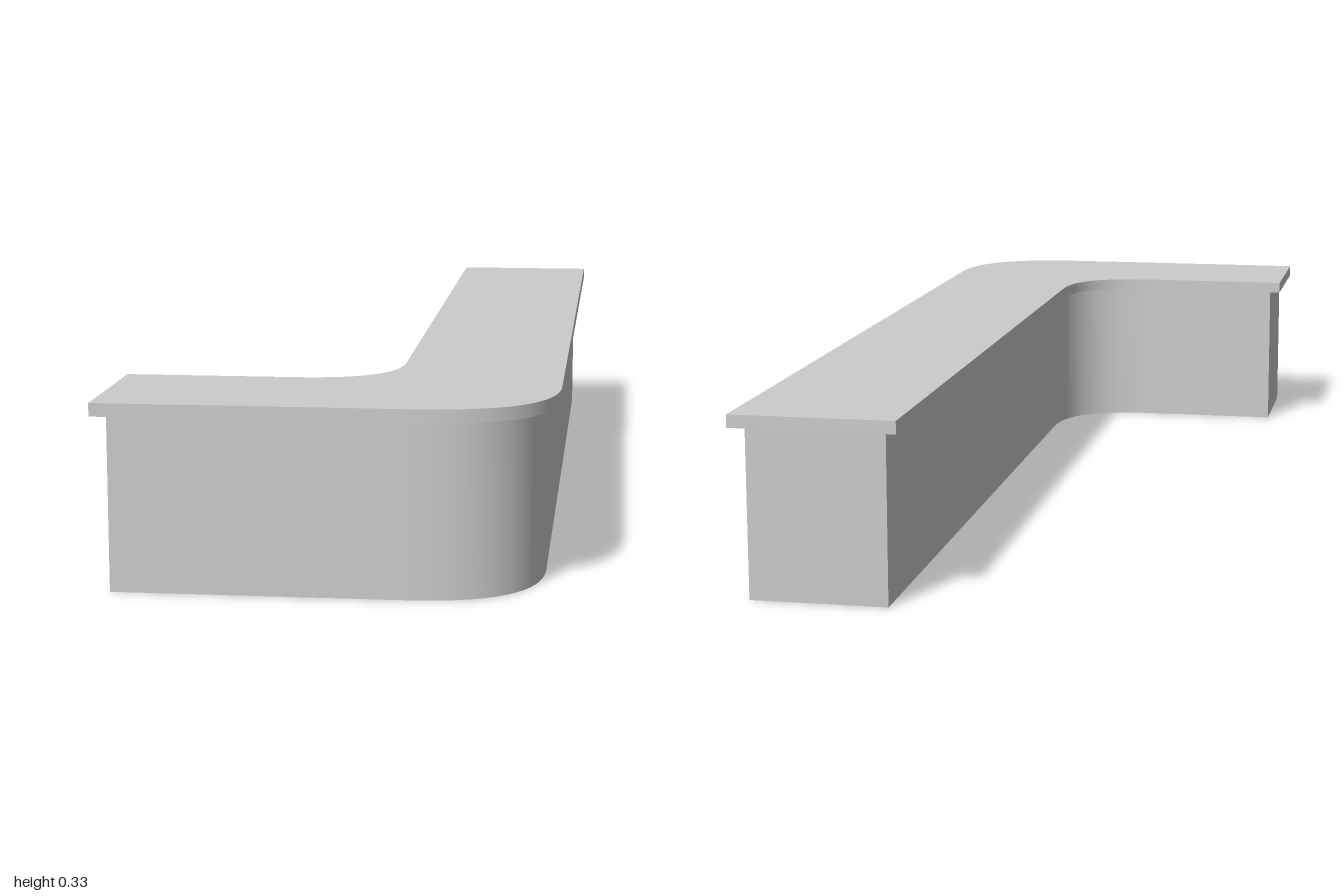
import * as THREE from 'three';
import { toCreasedNormals } from 'three/addons/utils/BufferGeometryUtils.js';

const HALF_X = 0.39, HALF_Z = 1, WIDTH = 0.295;

// L-shaped slab with rounded bend, its outline pulled in by `inset`
function lSlab(name, inset, bottom, top) {
  const x0 = -HALF_X + inset, x1 = HALF_X - inset;
  const back = -HALF_Z + inset, front = HALF_Z - inset;
  const innerX = HALF_X - WIDTH + inset, innerZ = HALF_Z - WIDTH + inset;
  const outerR = 0.24 - inset * 0.5, innerR = 0.18 + inset * 0.5;

  // Plan outline, with shape y = -z
  const s = new THREE.Shape();
  s.moveTo(x0, -front);
  s.lineTo(x1 - outerR, -front);
  s.quadraticCurveTo(x1, -front, x1, -(front - outerR));
  s.lineTo(x1, -back);
  s.lineTo(innerX, -back);
  s.lineTo(innerX, -(innerZ - innerR));
  s.quadraticCurveTo(innerX, -innerZ, innerX - innerR, -innerZ);
  s.lineTo(x0, -innerZ);
  s.closePath();

  const extruded = new THREE.ExtrudeGeometry(s, {
    depth: top - bottom, bevelEnabled: false, curveSegments: 20,
  });
  extruded.rotateX(-Math.PI / 2);
  extruded.translate(0, bottom, 0);
  const mesh = new THREE.Mesh(
    toCreasedNormals(extruded, Math.PI / 6),
    new THREE.MeshStandardMaterial({ color: 0xcccccc }),
  );
  mesh.name = name;
  return mesh;
}

export function createModel() {
  const group = new THREE.Group();
  group.name = 'counter';
  group.add(lSlab('counterBase', 0.024, 0, 0.307)); // solid body
  group.add(lSlab('counterTop', 0, 0.307, 0.33)); // overhanging worktop
  return group;
}
